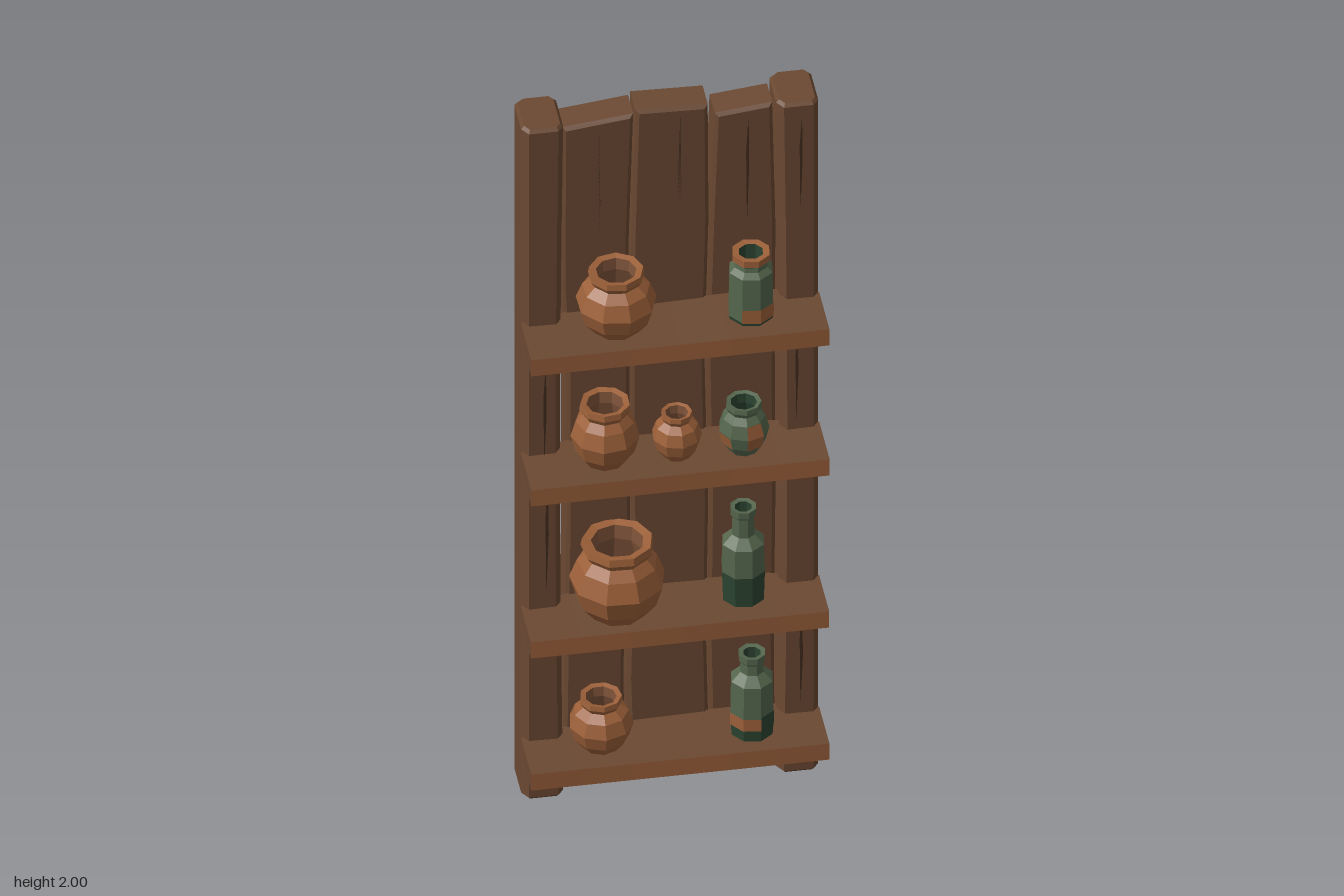
import * as THREE from 'three';

const mat = (name, color) => new THREE.MeshStandardMaterial({ name, color, flatShading: true });

export function createModel() {
  const root = new THREE.Group();
  root.name = 'potteryShelf';
  const wood = mat('darkWood', 0x6b4932);
  const cut = mat('lightWood', 0x975d39);
  const crack = mat('crackShadow', 0x3f2a1d);
  const clay = mat('clay', 0x9c6039);
  const clayInside = mat('clayInside', 0x80543a);
  const glaze = mat('greenGlaze', 0x55664d);
  const darkGlaze = mat('darkGlaze', 0x2b4431);

  const add = (parent, name, geometry, material, x = 0, y = 0, z = 0) => {
    const mesh = new THREE.Mesh(geometry, material);
    mesh.name = name;
    mesh.position.set(x, y, z);
    parent.add(mesh);
    return mesh;
  };
  const outline = pts => new THREE.Shape(pts.map(p => new THREE.Vector2(...p)));

  // Corner posts: chamfered section extruded upwards
  for (const s of [-1, 1]) {
    const section = outline([
      [-0.05, -0.045], [-0.035, -0.068], [0.036, -0.068], [0.05, -0.05],
      [0.05, 0.05], [0.036, 0.068], [-0.03, 0.068], [-0.05, 0.052]]);
    const g = new THREE.ExtrudeGeometry(section, {
      depth: 1.984, steps: 6, bevelSize: 0.007, bevelOffset: -0.007, bevelThickness: 0.008, bevelSegments: 1 });
    g.rotateX(-Math.PI / 2);
    g.translate(0, 0.008, 0);
    // Inner side narrows gently around mid height
    const p = g.attributes.position;
    for (let i = 0; i < p.count; i++) {
      if (p.getX(i) * s < 0) p.setX(i, p.getX(i) + s * 0.008 * Math.sin(p.getY(i) * 1.57));
    }
    add(root, s < 0 ? 'rightPost' : 'leftPost', g, wood, s * 0.306, 0, -0.076);
  }

  // Back planks: each row is [left x, right x, left y, right y]
  const planks = [
    [[-0.252, -0.104, 0.035, 0.025], [-0.248, -0.106, 0.4, 0.35], [-0.243, -0.09, 0.8, 0.7],
      [-0.244, -0.092, 1.25, 1.2], [-0.256, -0.094, 1.5, 1.6], [-0.254, -0.083, 1.965, 1.985]],
    [[-0.09, 0.1, 0.012, 0.006], [-0.098, 0.092, 0.3, 0.4], [-0.088, 0.097, 0.75, 0.8],
      [-0.09, 0.088, 1.2, 1.25], [-0.088, 0.098, 1.6, 1.65], [-0.078, 0.096, 1.995, 1.99]],
    [[0.104, 0.258, 0.02, 0.04], [0.096, 0.256, 0.4, 0.4], [0.1, 0.26, 0.8, 0.8],
      [0.093, 0.258, 1.25, 1.3], [0.103, 0.26, 1.65, 1.6], [0.114, 0.252, 1.955, 1.97]]];
  planks.forEach((rows, i) => {
    const pts = [...rows.map(r => [r[1], r[3]]), ...rows.map(r => [r[0], r[2]]).reverse()];
    const g = new THREE.ExtrudeGeometry(outline(pts), {
      depth: 0.072, bevelSize: 0.009, bevelOffset: -0.009, bevelThickness: 0.008, bevelSegments: 1 });
    add(root, 'backPlank' + (i + 1), g, wood, 0, 0, -0.131 + (i === 2 ? -0.006 : 0.002));
  });

  // Thin wedge cracks: [x, lower y, upper y, width, face z, facing]
  const cracks = [
    [-0.17, 1.5, 1.96, 0.007, -0.05, 1], [0.025, 1.47, 1.97, 0.007, -0.05, 1], [0.19, 1.62, 1.95, 0.005, -0.056, 1],
    [-0.3, 0.62, 0.96, 0.006, -0.007, 1], [-0.305, 1.0, 1.3, 0.006, -0.007, 1], [0.31, 1.68, 1.97, 0.005, -0.007, 1],
    [0.3, 1.05, 1.34, 0.005, -0.007, 1], [0.31, 0.2, 0.5, 0.006, -0.007, 1],
    [-0.14, 0.55, 1.4, 0.008, -0.1385, -1], [0.04, 0.9, 1.75, 0.006, -0.1385, -1], [0.18, 0.2, 1.0, 0.006, -0.146, -1]];
  for (const [x, y0, y1, w, z, facing] of cracks) {
    const m = (y0 + y1) / 2;
    const g = new THREE.ShapeGeometry(outline([[0, y0], [w, m], [0.004, y1], [-0.002, m + 0.05]]));
    const mesh = add(root, 'woodCrack', g, crack, x, 0, z + facing * 0.001);
    if (facing < 0) mesh.rotation.y = Math.PI;
  }

  // Shelves with a light front and underside, each on two brackets
  const shelfTops = [0.178, 0.573, 1.028, 1.417];
  shelfTops.forEach((top, k) => {
    const shelf = new THREE.Group();
    shelf.name = 'shelf' + (k + 1);
    shelf.position.y = top;
    root.add(shelf);
    const g = new THREE.BoxGeometry(0.716, 0.048, 0.18, 6, 1, 1);
    g.translate(0, -0.024, 0.035);
    const p = g.attributes.position;
    for (let i = 0; i < p.count; i++) {
      const x = p.getX(i);
      const wave = Math.sin(x * 9 + k * 2);
      if (p.getZ(i) > 0) p.setZ(i, 0.121 + 0.004 * wave);
      else if (Math.abs(x) > 0.3) p.setZ(i, -0.025);
      p.setY(i, p.getY(i) + 0.003 * wave);
    }
    add(shelf, 'shelfBoard', g, [wood, wood, wood, cut, cut, cut]);
    for (const s of [-1, 1]) {
      const side = outline([[-0.02, 0], [0.085, 0], [0.083, -0.026], [0.07, -0.046], [-0.02, -0.052]]);
      const b = new THREE.ExtrudeGeometry(side, { depth: 0.05, bevelEnabled: false });
      b.translate(0, 0, -0.025);
      b.rotateY(-Math.PI / 2);
      add(shelf, 'bracket', b, cut, s * 0.306, -0.044, 0);
    }
  });

  // Vessels: bands of [material, profile], each profile a list of [radius, height]
  const vessel = (name, x, y, z, sides, bands, turn = 0) => {
    const group = new THREE.Group();
    group.name = name;
    group.position.set(x, y, z);
    group.rotation.y = turn;
    root.add(group);
    bands.forEach(([material, pts, first = 0, count = sides]) => {
      const step = Math.PI * 2 / sides;
      const g = new THREE.LatheGeometry(pts.map(p => new THREE.Vector2(...p)), count, first * step, count * step);
      add(group, count < sides ? 'glazePatch' : 'vesselBand', g, material);
    });
  };

  // Round pot, with radius r, height h and rim radius n
  const pot = (name, x, y, z, r, h, n, turn, skin = clay, inside = clayInside, rim = clay, extra = []) =>
    vessel(name, x, y, z, 9, [
      [skin, [[0, 0], [r * 0.58, 0], [r * 0.86, h * 0.2], [r, h * 0.46], [r * 0.84, h * 0.7], [n * 0.86, h * 0.82]]],
      [rim, [[n * 0.86, h * 0.82], [n, h * 0.91], [n * 0.96, h], [n * 0.72, h * 0.98]]],
      [inside, [[n * 0.72, h * 0.98], [n * 0.68, h * 0.8], [r * 0.7, h * 0.45], [0, h * 0.15]]],
      ...extra], turn);

  pot('topPot', -0.137, 1.415, 0.022, 0.097, 0.17, 0.068, 0.2);
  pot('middlePot', -0.165, 1.027, 0.03, 0.083, 0.172, 0.062, 0.5);
  pot('smallPot', 0.006, 1.027, 0.035, 0.06, 0.125, 0.038, 0.1);
  pot('largePot', -0.135, 0.573, 0.03, 0.115, 0.21, 0.088, 0.3);
  pot('bottomPot', -0.175, 0.178, 0.03, 0.078, 0.145, 0.052, 0);
  pot('greenPot', 0.166, 1.027, 0.04, 0.061, 0.14, 0.044, 0, glaze, darkGlaze, glaze, [
    [clay, [[0.054, 0.028], [0.063, 0.0644], [0.053, 0.098]], 0, 1],
    [clay, [[0.054, 0.028], [0.063, 0.0644]], 6, 2],
    [darkGlaze, [[0.037, 0], [0.054, 0.028]], 1, 3]]);

  // Tall bottle, with radius r, height h, neck radius n and dark glaze up to d
  const bottle = (name, x, y, z, r, h, n, d, shoulder, rim, extra) =>
    vessel(name, x, y, z, 8, [
      [darkGlaze, [[0, 0], [r * 0.95, 0], [r, d]]],
      [glaze, [[r, d], [r * 0.96, shoulder], [n, shoulder + (r - n) * 0.9], [n * 0.95, h - 0.024], [n * 1.12, h - 0.018]]],
      [rim, [[n * 1.12, h - 0.018], [n * 1.12, h], [n * 0.72, h - 0.002]]],
      [darkGlaze, [[n * 0.72, h - 0.002], [n * 0.72, shoulder], [0, shoulder - 0.05]]],
      ...extra], 0.25);

  bottle('bottomBottle', 0.186, 0.178, 0.038, 0.055, 0.234, 0.03, 0.04, 0.16, glaze, [
    [clay, [[0.0565, 0.035], [0.0565, 0.07]], 6, 2],
    [darkGlaze, [[0.0565, 0.038], [0.0565, 0.075]], 0, 2]]);
  bottle('middleBottle', 0.168, 0.573, 0.022, 0.055, 0.265, 0.029, 0.085, 0.165, glaze, []);
  bottle('topBottle', 0.185, 1.415, 0.03, 0.057, 0.19, 0.042, 0.014, 0.14, clay, [
    [clay, [[0.0575, 0.012], [0.0585, 0.052]], 7, 2],
    [clay, [[0.0575, 0.012], [0.0585, 0.035]], 2, 2]]);

  return root;
}
